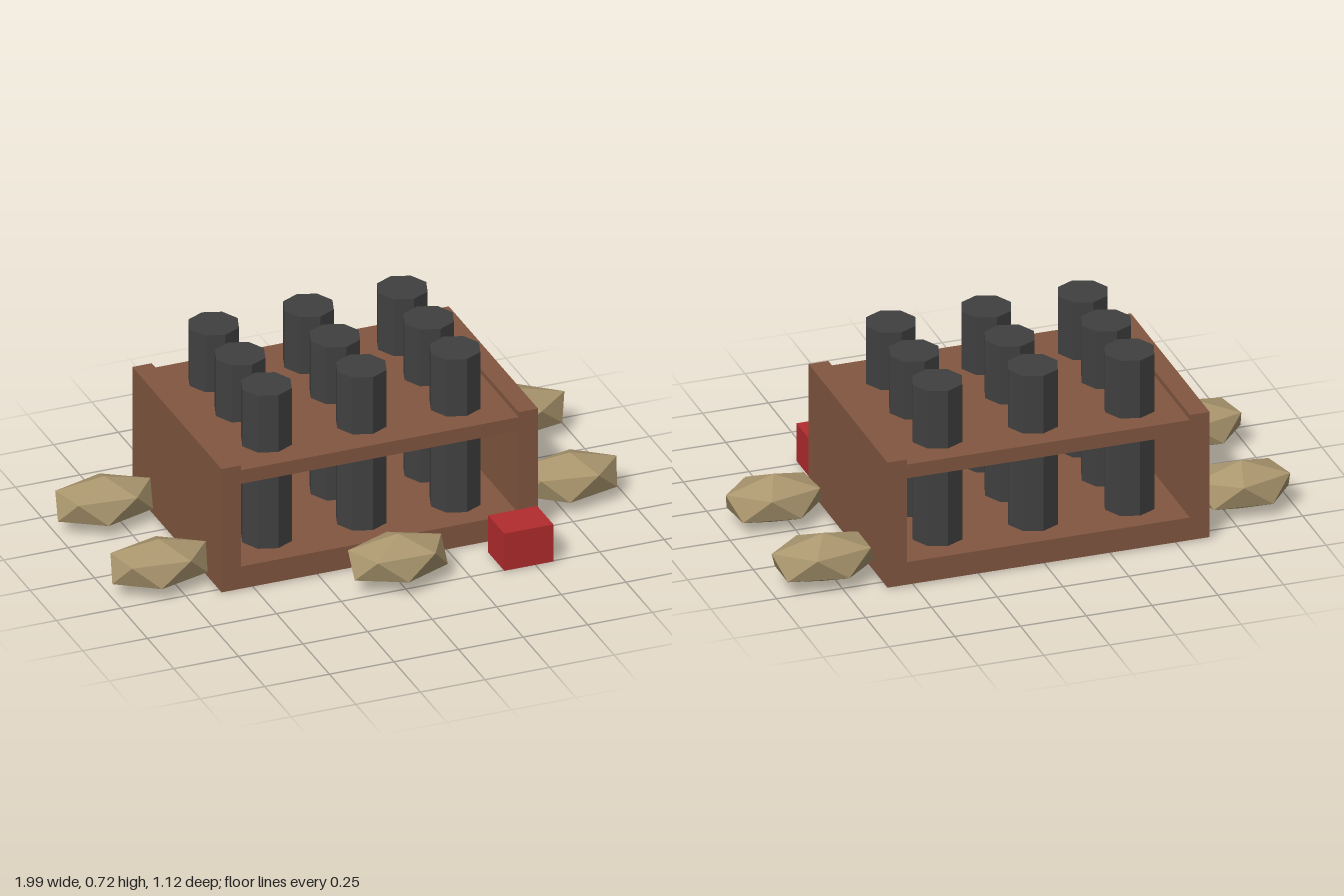
import * as THREE from 'three';

const material = (name, color) => {
  const m = new THREE.MeshStandardMaterial({ color, flatShading: true });
  m.name = name;
  return m;
};

export function createModel() {
  const wood = material('brown wood', 0x825640);
  const iron = material('dark grey', 0x404040);
  const stone = material('tan stone', 0xaa966e);
  const red = material('red', 0xb22b2d);

  const model = new THREE.Group();
  model.name = 'tubeRack';

  const add = (name, geometry, mat, x, y, z, parent = model) => {
    const mesh = new THREE.Mesh(geometry, mat);
    mesh.name = name;
    mesh.position.set(x, y, z);
    parent.add(mesh);
    return mesh;
  };
  // Box given by its lower and upper corners
  const box = (name, mat, [x0, y0, z0], [x1, y1, z1], parent) =>
    add(name, new THREE.BoxGeometry(x1 - x0, y1 - y0, z1 - z0), mat,
      (x0 + x1) / 2, (y0 + y1) / 2, (z0 + z1) / 2, parent);

  // Wooden rack, open at front and back
  const rack = new THREE.Group();
  rack.name = 'rack';
  model.add(rack);
  const back = -0.56, front = 0.285;
  box('rightSide', wood, [-0.625, 0.01, back], [-0.55, 0.51, front], rack);
  box('leftSide', wood, [0.525, 0.01, back], [0.6, 0.51, front], rack);
  box('base', wood, [-0.55, 0.01, back], [0.525, 0.1, front], rack);
  box('shelf', wood, [-0.55, 0.435, back], [0.525, 0.49, front], rack);

  // Three rows of eight-sided tubes standing on the base
  const tubes = new THREE.Group();
  tubes.name = 'tubes';
  model.add(tubes);
  const tubeGeometry = new THREE.CylinderGeometry(0.096, 0.096, 0.62, 8);
  tubeGeometry.rotateY(0.07);
  for (const z of [-0.39, -0.14, 0.11])
    for (const x of [-0.38, -0.013, 0.35]) add('tube', tubeGeometry, iron, x, 0.41, z, tubes);

  // Stretched icosahedron rocks, one corner up, each turned by a small angle
  const rocks = new THREE.Group();
  rocks.name = 'rocks';
  model.add(rocks);
  const tilt = Math.atan(2 / (1 + Math.sqrt(5)));
  const rock = (x, y, z, halfLength, turn) => {
    const g = new THREE.IcosahedronGeometry(1, 0);
    g.rotateZ(tilt);
    g.rotateY(Math.PI + turn);
    g.scale(halfLength / 0.894, 0.096, 0.134);
    add('rock', g, stone, x, y, z, rocks);
  };
  rock(-0.812, 0.102, -0.37, 0.188, 0.15);
  rock(-0.812, 0.102, 0.15, 0.188, 0.12);
  rock(0.8, 0.107, -0.432, 0.195, 0);
  rock(0.803, 0.1, 0.09, 0.184, 0.06);
  rock(-0.008, 0.108, 0.445, 0.188, 0.28);

  // Small red block in front
  box('redBlock', red, [0.375, 0.01, 0.362], [0.565, 0.16, 0.515]);

  return model;
}
